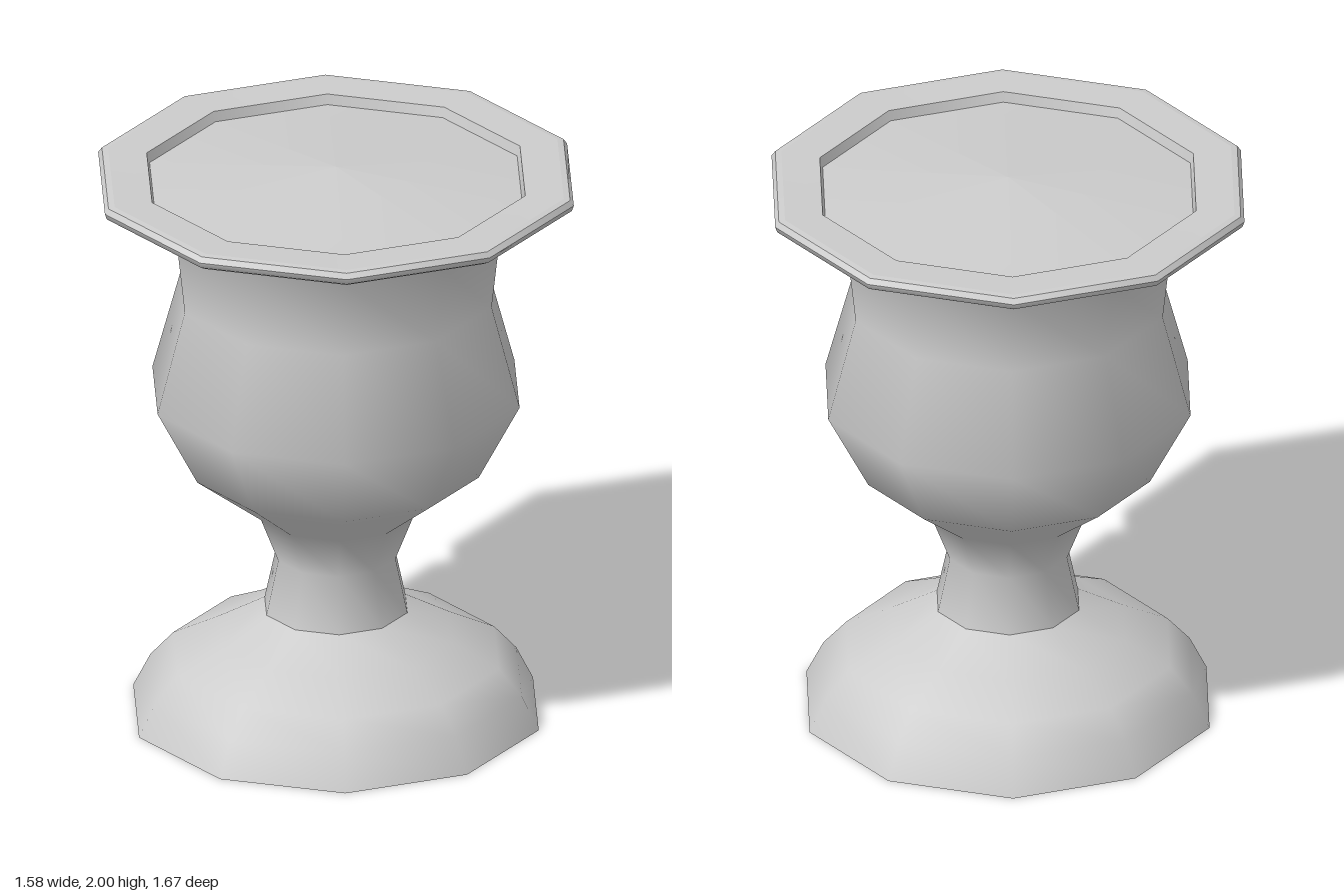
import * as THREE from 'three';

const SIDES = 10;

export function createModel() {
  const urn = new THREE.Group();
  urn.name = 'gardenUrn';
  const material = new THREE.MeshStandardMaterial({ color: 0xcccccc, side: THREE.DoubleSide });

  // Ten-sided turned part with smooth normals along its profile of [radius, height]
  const turned = (name, profile, parent = urn) => {
    const points = profile.map(([r, y]) => new THREE.Vector2(r, y));
    const mesh = new THREE.Mesh(new THREE.LatheGeometry(points, SIDES), material);
    mesh.name = name;
    parent.add(mesh);
    return mesh;
  };

  // Hollow foot, open underneath
  turned('foot', [[0.71, 0], [0.65, 0.12], [0.57, 0.21], [0.41, 0.29], [0.25, 0.38]]);

  // Neck, bowl and flared throat
  turned('bowl', [
    [0.25, 0.38], [0.208, 0.575], [0.27, 0.735], [0.5, 0.91],
    [0.643, 1.185], [0.545, 1.545], [0.576, 1.825], [0.67, 1.91],
  ]);

  // Rim: separate bands keep its edges crisp
  const rim = new THREE.Group();
  rim.name = 'rim';
  urn.add(rim);
  turned('rimUnderside', [[0.67, 1.91], [0.8, 1.921], [0.826, 1.935], [0.833, 1.955]], rim);
  turned('rimEdge', [[0.833, 1.955], [0.82, 1.973]], rim);
  turned('rimBevel', [[0.82, 1.973], [0.798, 1.976]], rim);
  turned('rimTop', [[0.798, 1.976], [0.663, 1.972]], rim);
  turned('rimInnerWall', [[0.663, 1.972], [0.645, 1.91]], rim);

  // Shallow mound of soil filling the bowl
  turned('soil', [[0.655, 1.937], [0, 2]]);

  return urn;
}
